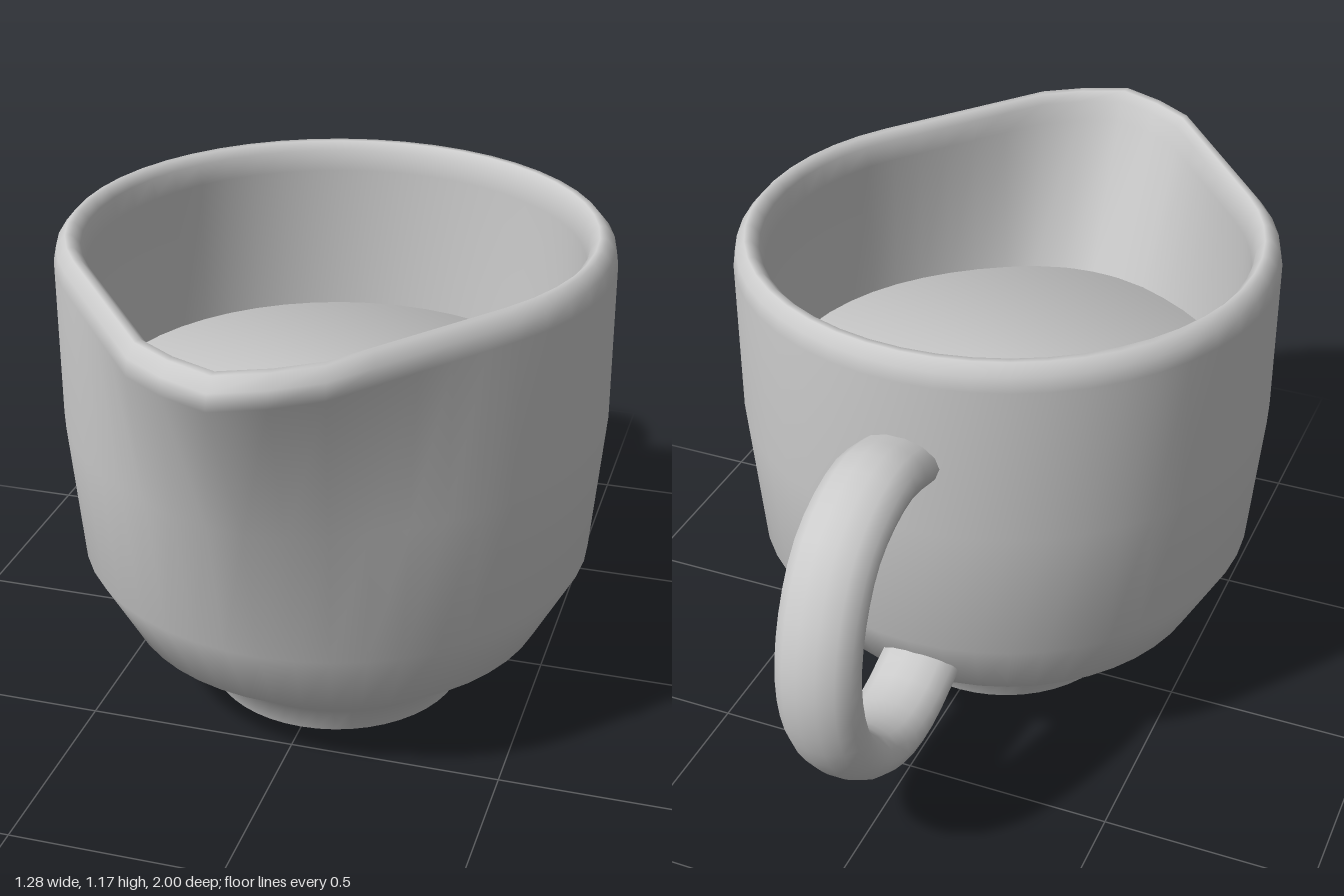
import * as THREE from 'three';

const CENTRE_Z = 0.115; // axis of the round body
const RADIUS = 0.64;
const SEGMENTS = 48;

// Outline of the rim: a circle whose front is drawn out by two tangents into a blunt spout
function rimRadius(angle) {
  const a = Math.abs(angle);
  const tangent = THREE.MathUtils.degToRad(52);
  if (a >= tangent) return RADIUS;
  return Math.min(RADIUS / Math.cos(tangent - a), 0.885 / (Math.cos(a) + 0.42 * Math.sin(a)));
}

// Rows of [radius, height, share of the spout], from under the foot, over the rim, down the inside
const bodyRows = [
  [0, 0, 0], [0.29, 0, 0], [0.313, 0.003, 0], [0.313, 0.055, 0],
  [0.51, 0.2, 0], [0.61, 0.385, 0], [0.64, 0.73, 0.18],
  [0.64, 1.11, 1], [0.633, 1.145, 1], [0.612, 1.17, 1], [0.596, 1.17, 1],
  [0.578, 1.15, 1], [0.57, 1.1, 1], [0.575, 0.73, 0.18], [0.55, 0.6, 0],
];

function bodyGeometry() {
  const positions = [];
  const index = [];
  for (const [radius, y, spout] of bodyRows) {
    for (let i = 0; i < SEGMENTS; i++) {
      const angle = (i / SEGMENTS) * Math.PI * 2;
      const fold = angle > Math.PI ? angle - Math.PI * 2 : angle;
      const r = radius * (1 + spout * (rimRadius(fold) / RADIUS - 1));
      positions.push(r * Math.sin(angle), y, CENTRE_Z + r * Math.cos(angle));
    }
  }
  for (let j = 0; j < bodyRows.length - 1; j++) {
    for (let i = 0; i < SEGMENTS; i++) {
      const n = (i + 1) % SEGMENTS;
      const a = j * SEGMENTS + i, b = j * SEGMENTS + n;
      const c = b + SEGMENTS, d = a + SEGMENTS;
      if (j > 0) index.push(a, b, c);
      index.push(a, c, d);
    }
  }
  const geometry = new THREE.BufferGeometry();
  geometry.setAttribute('position', new THREE.Float32BufferAttribute(positions, 3));
  geometry.setIndex(index);
  geometry.computeVertexNormals();
  return geometry;
}

export function createModel() {
  const model = new THREE.Group();
  model.name = 'creamJug';
  const material = new THREE.MeshStandardMaterial({ color: 0xcccccc, side: THREE.DoubleSide });

  function add(name, geometry) {
    const mesh = new THREE.Mesh(geometry, material);
    mesh.name = name;
    model.add(mesh);
    return mesh;
  }

  // Foot, bowl, rim and spout in one skin
  add('body', bodyGeometry());

  // Liquid filling the bowl, softly shaded over its edge
  const liquidProfile = [[0, 0.2], [0.45, 0.24], [0.57, 0.42], [0.613, 0.735], [0, 0.74]]
    .map(([r, y]) => new THREE.Vector2(r, y));
  add('liquid', new THREE.LatheGeometry(liquidProfile, SEGMENTS)).position.z = CENTRE_Z;

  // Loop handle, wider than it is thick
  const handlePath = new THREE.CatmullRomCurve3([
    [0.9, -0.49], [0.932, -0.65], [0.875, -0.81], [0.75, -0.9], [0.59, -0.935],
    [0.43, -0.9], [0.305, -0.805], [0.243, -0.68], [0.235, -0.56], [0.275, -0.42],
  ].map(([y, z]) => new THREE.Vector3(0, y, z)));
  const handle = new THREE.TubeGeometry(handlePath, 28, 0.062, 14);
  handle.scale(1.58, 1, 1);
  add('handle', handle);

  return model;
}
